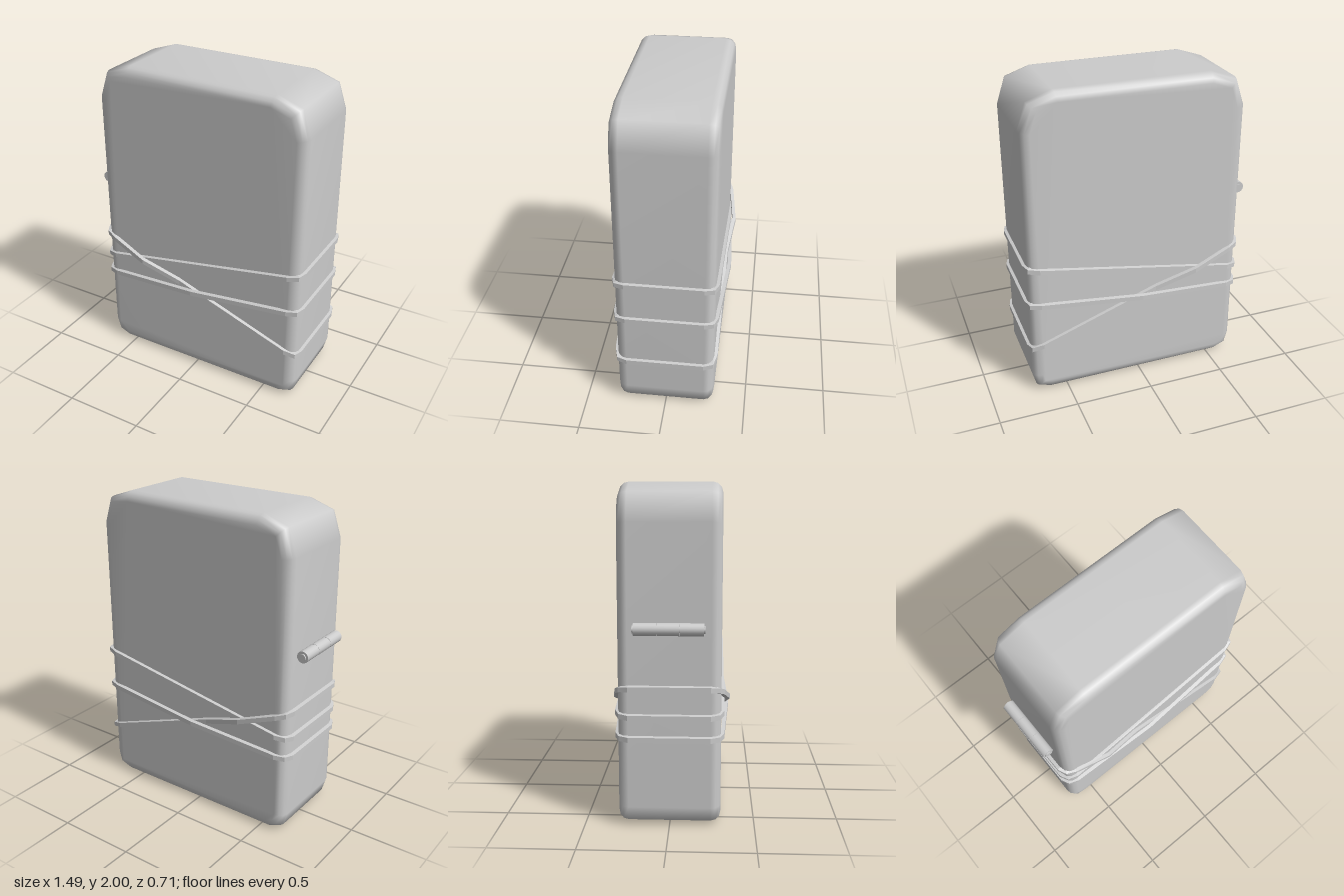
import * as THREE from 'three';
import { mergeVertices } from 'three/addons/utils/BufferGeometryUtils.js';

const smoothGrey = new THREE.MeshStandardMaterial({ color: 0xcccccc });
const flatGrey = new THREE.MeshStandardMaterial({ color: 0xcccccc, flatShading: true });

function addMesh(parent, name, geometry, material) {
  const mesh = new THREE.Mesh(geometry, material);
  mesh.name = name;
  parent.add(mesh);
  return mesh;
}

// Upright block with clipped corners and softly rounded front and back rims
function bodyGeometry() {
  const outline = [
    [-0.56, 0], [0.61, 0], [0.7, 0.03], [0.725, 0.12],
    [0.725, 1.78], [0.67, 1.945], [0.51, 2], [-0.45, 2],
    [-0.615, 1.945], [-0.67, 1.78], [-0.67, 0.12], [-0.645, 0.035],
  ].map(([x, y]) => new THREE.Vector2(x, y));
  const bevel = 0.06;
  let geo = new THREE.ExtrudeGeometry(new THREE.Shape(outline), {
    depth: 0.6 - 2 * bevel, bevelEnabled: true, bevelThickness: bevel,
    bevelSize: bevel, bevelOffset: -bevel, bevelSegments: 3,
  });
  geo.translate(0, 0, -0.3 + bevel);
  geo.deleteAttribute('normal');
  geo.deleteAttribute('uv');
  geo = mergeVertices(geo, 1e-4);
  geo.computeVertexNormals();
  return geo;
}

// Closed strap around the body: height runs from yLeft to yRight,
// bulge lists [x, z] points where it lifts over another strap
function strapGeometry(yLeft, yRight, bulge) {
  const front = [
    [-0.677, 0.235], [-0.655, 0.28], [-0.6, 0.301], ...bulge,
    [0.65, 0.301], [0.71, 0.283], [0.725, 0.235],
  ];
  const path = [...front, ...front.map(([x, z]) => [x, -z]).reverse()]
    .map(([x, z]) => new THREE.Vector2(x, z));
  const n = path.length;
  // Cross-section: [outward offset, height offset]
  const section = [[-0.004, -0.02], [0.018, -0.015], [0.018, 0.015], [-0.004, 0.02]];
  const positions = [], index = [];
  path.forEach((p, i) => {
    const a = p.clone().sub(path[(i + n - 1) % n]).normalize();
    const b = path[(i + 1) % n].clone().sub(p).normalize();
    const t = a.clone().add(b).normalize();
    const mitre = 1 / t.dot(a);
    const y = yLeft + (yRight - yLeft) * (p.x + 0.68) / 1.42;
    for (const [out, up] of section) {
      positions.push(p.x - t.y * out * mitre, y + up, p.y + t.x * out * mitre);
    }
    for (let j = 0; j < 4; j++) {
      const k = (j + 1) % 4, next = ((i + 1) % n) * 4;
      index.push(i * 4 + j, next + j, next + k, i * 4 + j, next + k, i * 4 + k);
    }
  });
  const geo = new THREE.BufferGeometry();
  geo.setAttribute('position', new THREE.Float32BufferAttribute(positions, 3));
  geo.setIndex(index);
  geo.computeVertexNormals();
  return geo;
}

export function createModel() {
  const model = new THREE.Group();
  model.name = 'strappedCase';

  addMesh(model, 'body', bodyGeometry(), smoothGrey);

  // Three slanted straps, crossing over one another on both faces
  const straps = new THREE.Group();
  straps.name = 'straps';
  model.add(straps);
  addMesh(straps, 'upperStrap', strapGeometry(0.665, 0.912, []), flatGrey);
  addMesh(straps, 'middleStrap', strapGeometry(0.535, 0.657, [[0, 0.333]]), flatGrey);
  addMesh(straps, 'crossStrap',
    strapGeometry(0.835, 0.325, [[-0.36, 0.335], [-0.1, 0.303]]), flatGrey);

  // Hinge: three knuckles on a slightly longer pin
  const hinge = new THREE.Group();
  hinge.name = 'hinge';
  hinge.position.set(-0.708, 1.185, 0);
  model.add(hinge);
  const addBarrel = (name, radius, z0, z1) => {
    const geo = new THREE.CylinderGeometry(radius, radius, z1 - z0, 16);
    geo.rotateX(Math.PI / 2);
    addMesh(hinge, name, geo, smoothGrey).position.z = (z0 + z1) / 2;
  };
  const cuts = [-0.2, -0.068, 0.064, 0.2];
  for (let i = 0; i < 3; i++) {
    addBarrel('hingeKnuckle', 0.037, cuts[i] + 0.001, cuts[i + 1] - 0.001);
  }
  addBarrel('hingePin', 0.023, -0.207, 0.207);

  return model;
}
